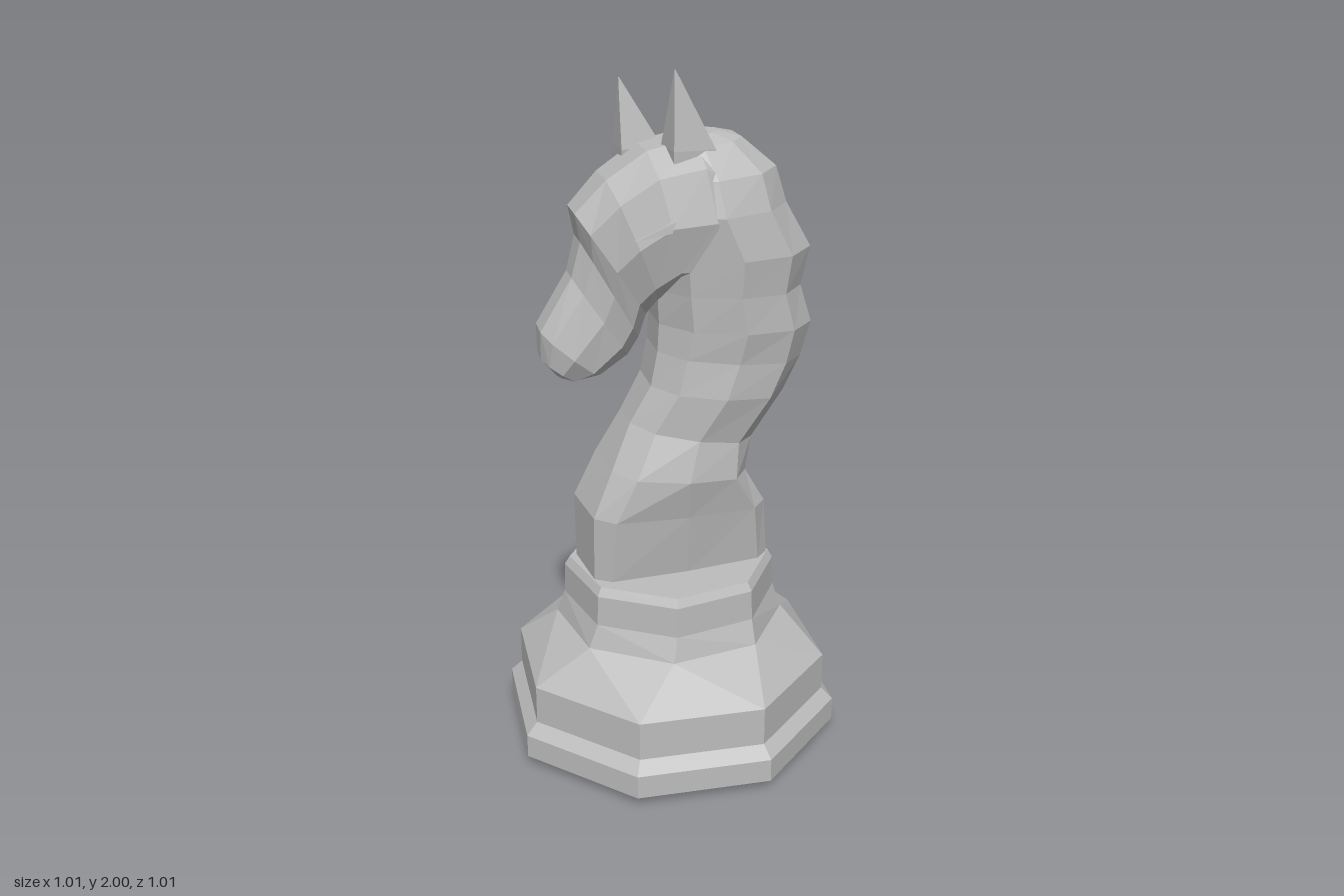
import * as THREE from 'three';

const stone = new THREE.MeshStandardMaterial({ color: 0xbcbcbc, flatShading: true });
stone.name = 'grey stone';

// Skin a closed solid through rings of equal point count, facing outward
function loft(name, rings) {
  const tris = [];
  const n = rings[0].length;
  for (let r = 0; r < rings.length - 1; r++) {
    const a = rings[r], b = rings[r + 1];
    for (let i = 0; i < n; i++) {
      const j = (i + 1) % n;
      tris.push([a[i], b[j], a[j]], [a[i], b[i], b[j]]);
    }
  }
  const first = rings[0], last = rings[rings.length - 1];
  for (let i = 1; i < n - 1; i++) {
    tris.push([first[0], first[i], first[i + 1]], [last[0], last[i + 1], last[i]]);
  }
  let volume = 0;
  const cross = new THREE.Vector3();
  for (const [a, b, c] of tris) volume += a.dot(cross.crossVectors(b, c));
  const points = tris.flatMap(([a, b, c]) => (volume > 0 ? [a, b, c] : [a, c, b]));
  const geometry = new THREE.BufferGeometry().setFromPoints(points);
  geometry.computeVertexNormals();
  const mesh = new THREE.Mesh(geometry, stone);
  mesh.name = name;
  return mesh;
}

// Ring between two outline points of the profile: half width w, squareness, twist
const UP = new THREE.Vector3(0, 1, 0);
function section([x1, y1, x2, y2, w, power = 0.8, twist = 0]) {
  const sides = 10;
  const ring = [];
  const reach = Math.cos(Math.PI / sides) ** power;
  for (let i = 0; i < sides; i++) {
    const t = ((i + 0.5) / sides) * Math.PI * 2;
    const cos = Math.cos(t), sin = Math.sin(t);
    const c = Math.abs(cos) < 1e-6 ? 0 : (Math.sign(cos) * Math.abs(cos) ** power) / reach;
    const s = Math.sign(sin) * Math.abs(sin) ** power;
    ring.push(new THREE.Vector3(
      (x1 + x2) / 2 + (c * (x1 - x2)) / 2,
      (y1 + y2) / 2 + (c * (y1 - y2)) / 2,
      s * w).applyAxisAngle(UP, twist));
  }
  return ring;
}

// Eight-sided ring of the pedestal: height, radius, twist in degrees
function octagon([y, r, twist]) {
  return Array.from({ length: 8 }, (_, i) => {
    const t = THREE.MathUtils.degToRad(twist + i * 45);
    return new THREE.Vector3(r * Math.cos(t), y, r * Math.sin(t));
  });
}

export function createModel() {
  const model = new THREE.Group();
  model.name = 'chessKnight';

  // Pedestal, twisting slightly towards its collar
  model.add(loft('pedestal', [
    [0, 0.465, 7.4], [0.03, 0.51, 7.4], [0.1, 0.51, 7.4], [0.135, 0.475, 7.4],
    [0.25, 0.475, 7.4], [0.37, 0.342, -5], [0.44, 0.318, -7], [0.53, 0.315, -7],
    [0.555, 0.3, -7],
  ].map(octagon)));

  // Horse, turned a little towards the front
  const horse = new THREE.Group();
  horse.name = 'horse';
  horse.rotation.y = 0.27;
  model.add(horse);

  // Chest, neck and mane: front x, y, back x, y, half width, squareness, twist
  horse.add(loft('neck', [
    [-0.265, 0.55, 0.28, 0.55, 0.135, 0.35, 0.13],
    [-0.265, 0.75, 0.265, 0.73, 0.165, 0.45, 0.13],
    [-0.2, 0.88, 0.205, 0.84, 0.195, 0.65, 0.08],
    [-0.13, 1.01, 0.23, 0.94, 0.17],
    [-0.07, 1.12, 0.32, 1.08, 0.19],
    [-0.05, 1.22, 0.37, 1.18, 0.185],
    [-0.045, 1.3, 0.4, 1.28, 0.2, 0.9],
    [-0.05, 1.4, 0.365, 1.39, 0.205, 0.9],
    [-0.07, 1.5, 0.39, 1.5, 0.217, 0.95],
    [-0.1, 1.61, 0.315, 1.63, 0.214, 0.9],
    [-0.1, 1.7, 0.285, 1.73, 0.185, 0.85],
    [-0.06, 1.78, 0.19, 1.81, 0.13],
    [0.0, 1.81, 0.13, 1.825, 0.06],
  ].map(section)));

  // Head: top x, y, underside x, y, half width
  horse.add(loft('head', [
    [0.16, 1.76, 0.19, 1.36, 0.18],
    [0.05, 1.815, 0.12, 1.4, 0.21],
    [-0.08, 1.785, 0.01, 1.41, 0.208],
    [-0.19, 1.71, -0.05, 1.37, 0.188],
    [-0.275, 1.62, -0.08, 1.33, 0.155],
    [-0.26, 1.54, -0.1, 1.26, 0.128],
    [-0.285, 1.44, -0.13, 1.21, 0.115],
    [-0.375, 1.29, -0.21, 1.155, 0.118],
    [-0.375, 1.21, -0.27, 1.14, 0.095],
    [-0.34, 1.165, -0.3, 1.145, 0.055],
  ].map((s) => section(s))));

  // Brows, mirrored: a slim wedge over each eye
  for (const side of [-1, 1]) {
    const v = (x, y, z) => new THREE.Vector3(x, y, z * side);
    horse.add(loft(side > 0 ? 'leftBrow' : 'rightBrow', [
      [v(-0.15, 1.56, 0.14), v(-0.02, 1.64, 0.17), v(-0.02, 1.58, 0.17)],
      [v(-0.13, 1.57, 0.2), v(-0.03, 1.62, 0.218), v(-0.04, 1.59, 0.218)],
    ]));
  }

  // Ears: four-sided spikes given by base corners (x, z), tip and base height
  const ears = [
    ['rightEar', [[-0.165, -0.1], [-0.055, -0.13], [-0.02, -0.05], [-0.13, 0]], [-0.14, 1.96, -0.04], 1.77],
    ['leftEar', [[-0.02, 0.055], [0.075, 0.035], [0.13, 0.1], [0.02, 0.145]], [0.02, 2, 0.12], 1.79],
  ];
  for (const [name, corners, tip, y] of ears) {
    const ring = (h, k) => corners.map(([x, z]) => new THREE.Vector3(
      THREE.MathUtils.lerp(x, tip[0], k), h, THREE.MathUtils.lerp(z, tip[2], k)));
    model.add(loft(name, [ring(y - 0.08, 0.15), ring(y, 0), ring(tip[1], 0.98)]));
  }

  return model;
}
